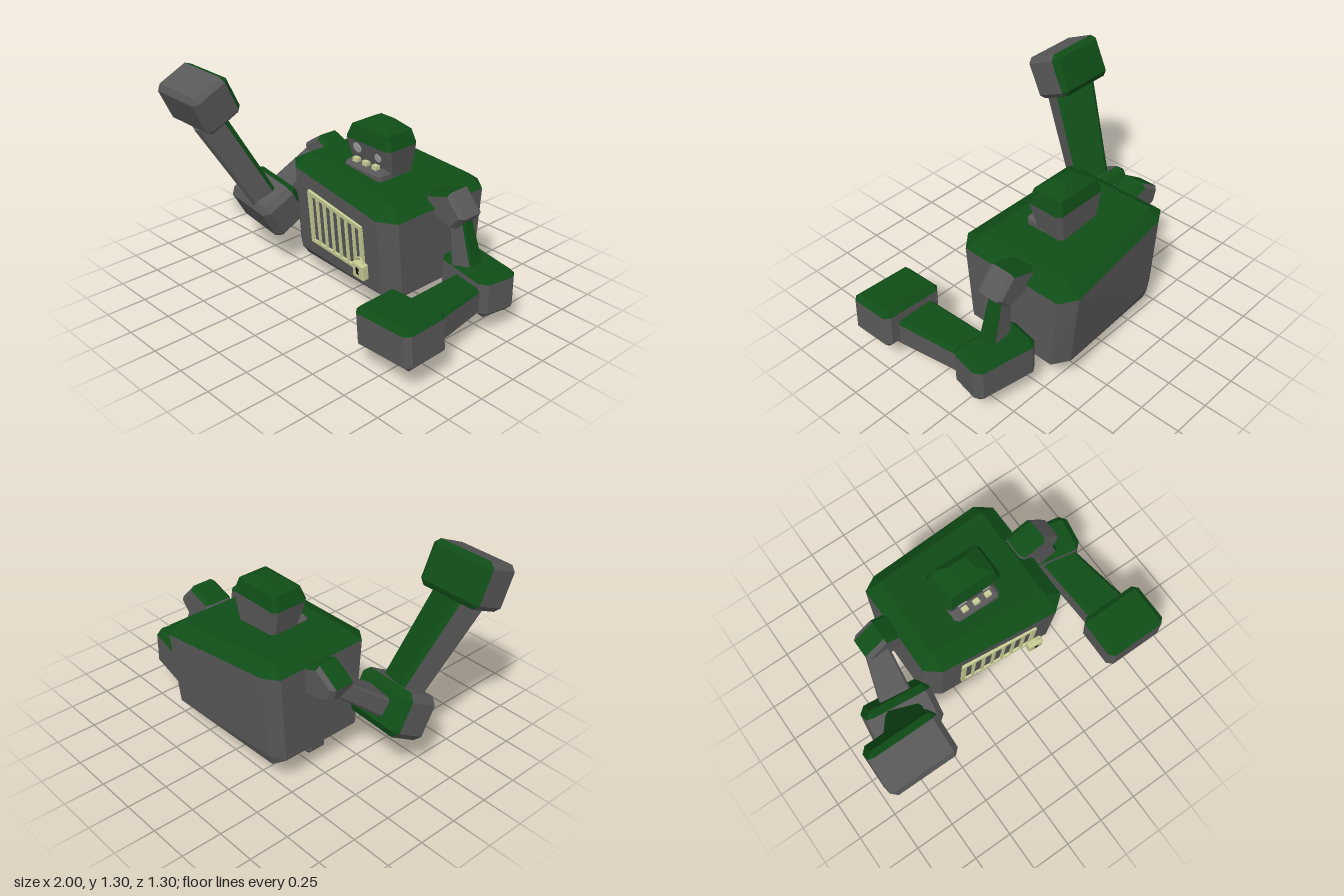
import * as THREE from 'three';
import { ConvexGeometry } from 'three/addons/geometries/ConvexGeometry.js';

const mat = (color) => new THREE.MeshStandardMaterial({ color, flatShading: true, side: THREE.DoubleSide });
const stone = mat(0x585858), moss = mat(0x0f4d17), brass = mat(0xc8cc94), pale = mat(0xa8a8a8), black = mat(0x0a0a0a);
const V = (x, y, z) => new THREE.Vector3(x, y, z);

function add(parent, name, geometry, material, x = 0, y = 0, z = 0) {
  const mesh = new THREE.Mesh(geometry, material);
  mesh.name = name;
  mesh.position.set(x, y, z);
  parent.add(mesh);
  return mesh;
}

// Splits a faceted solid into stone and moss: faces whose normal rises above the limit are mossy
function mossy(parent, name, geometry, limit = 0.4) {
  const g = geometry.index ? geometry.toNonIndexed() : geometry;
  const p = g.attributes.position, lists = [[], []], tri = new THREE.Triangle(), n = V(0, 0, 0);
  for (let i = 0; i < p.count; i += 3) {
    tri.setFromAttributeAndIndices(p, i, i + 1, i + 2);
    tri.getNormal(n);
    const list = lists[n.y > limit ? 1 : 0];
    for (const c of [tri.a, tri.b, tri.c]) list.push(c.x, c.y, c.z);
  }
  const part = new THREE.Group();
  part.name = name;
  lists.forEach((list, k) => {
    if (!list.length) return;
    const geo = new THREE.BufferGeometry();
    geo.setAttribute('position', new THREE.Float32BufferAttribute(list, 3));
    geo.computeVertexNormals();
    add(part, name + (k ? 'Moss' : 'Stone'), geo, k ? moss : stone);
  });
  parent.add(part);
  return part;
}

// Box with every edge cut off
function cutBox(w, h, d, b) {
  const pts = [];
  for (const x of [-w / 2, w / 2]) for (const y of [-h / 2, h / 2]) for (const z of [-d / 2, d / 2]) {
    const s = (v) => v - Math.sign(v) * b;
    pts.push(V(x, s(y), s(z)), V(s(x), y, s(z)), V(s(x), s(y), z));
  }
  return new ConvexGeometry(pts);
}

// Tapered limb from a to b; local z runs along it, sizes are [width, height]
function limb(parent, name, a, b, s0, s1, limit) {
  const len = a.distanceTo(b), pts = [];
  [[s0, 0], [s1, len]].forEach(([[w, h], z]) => {
    const c = Math.min(w, h) * 0.12;
    for (const i of [-1, 1]) for (const j of [-1, 1]) {
      pts.push(V(i * (w / 2 - c), j * h / 2, z), V(i * w / 2, j * (h / 2 - c), z));
    }
  });
  const part = mossy(parent, name, new ConvexGeometry(pts), limit);
  part.position.copy(a);
  part.lookAt(b);
}

function block(parent, name, size, bevel, pos, rot) {
  const part = mossy(parent, name, cutBox(...size, bevel));
  part.position.set(...pos);
  part.rotation.set(...rot);
}

// Shoulder slab: side outline pushed along z, with cut edges
function shoulder(parent, name, outline, z0, z1) {
  const mid = V(0, 0, 0), b = 0.025;
  outline.forEach(([x, y]) => mid.add(V(x, y, 0).divideScalar(outline.length)));
  const pts = [];
  for (const [x, y] of outline) {
    const inner = V(x, y, 0).lerp(mid, 0.18);
    pts.push(V(x, y, z0 + b), V(x, y, z1 - b), V(inner.x, inner.y, z0), V(inner.x, inner.y, z1));
  }
  mossy(parent, name, new ConvexGeometry(pts), 0.7);
}

function buildBody(root) {
  const ring = [[-0.45, -0.53], [-0.36, -0.585], [0.39, -0.645], [0.487, -0.575],
    [0.487, 0.11], [0.39, 0.19], [-0.36, 0.13], [-0.45, 0.06]];
  const pts = [];
  for (const [x, z] of ring) {
    pts.push(V(x, 0.705 - 0.083 * x, z), V(x, 0.19, -0.225 + (z + 0.225) * 0.88));
  }
  for (const [x, y, z0, z1] of [[-0.36, 0.8, -0.51, 0.02], [0.39, 0.735, -0.56, 0.07]]) {
    pts.push(V(x, y, z0), V(x, y, z1), V(x, 0.125, -0.52), V(x, 0.125, 0.04));
  }
  mossy(root, 'body', new ConvexGeometry(pts), 0.2);
  for (const x of [-0.237, 0.185]) add(root, 'foot', cutBox(0.19, 0.16, 0.145, 0.025), stone, x, 0.08, -0.152);
}

function buildHead(root) {
  const pts = [];
  // Each level: height, x range, z range, corner cut
  for (const [y, x0, x1, z0, z1, c] of [[0.74, -0.135, 0.165, -0.32, -0.135, 0.02],
    [0.935, -0.172, 0.202, -0.332, -0.085, 0.025], [1.015, -0.135, 0.168, -0.31, -0.11, 0.01],
    [1.065, -0.04, 0.072, -0.26, -0.18, 0]]) {
    for (const [x, sx] of [[x0, 1], [x1, -1]]) for (const [z, sz] of [[z0, 1], [z1, -1]]) {
      pts.push(V(x + sx * c, y, z), V(x, y, z + sz * c));
    }
  }
  mossy(root, 'head', new ConvexGeometry(pts), 0.1);
  add(root, 'jaw', cutBox(0.31, 0.085, 0.16, 0.022), stone, 0.015, 0.765, -0.13);
  for (const [x, y, r] of [[-0.067, 0.887, 0.033], [0.102, 0.872, 0.026]]) {
    const eye = add(root, 'eye', new THREE.CylinderGeometry(r, r, 0.01, 16), pale, x, y, -0.085 - (0.935 - y) * 0.256);
    eye.rotation.x = Math.PI / 2 + 0.25;
  }
  for (const x of [-0.06, 0.02, 0.1]) add(root, 'tooth', new THREE.BoxGeometry(0.038, 0.03, 0.03), brass, x, 0.817, -0.085);
}

// Barred window and padlock, laid on the slanted front wall
function buildGate(root) {
  const gate = new THREE.Group();
  gate.name = 'gate';
  gate.position.set(0.015, 0.45, 0.139);
  gate.rotation.set(0.09, -0.08, 0);
  root.add(gate);
  const top = (x) => 0.15 - 0.083 * x, low = -0.16;
  for (let i = 0; i < 8; i++) {
    const x = -0.238 + i * 0.068, edge = i === 0 || i === 7;
    const h = top(x) - low;
    add(gate, 'bar', new THREE.BoxGeometry(edge ? 0.026 : 0.018, h, edge ? 0.022 : 0.016), brass, x, low + h / 2, 0.004);
  }
  add(gate, 'sill', new THREE.BoxGeometry(0.5, 0.02, 0.022), brass, 0, low, 0.004);
  add(gate, 'lintel', new THREE.BoxGeometry(0.5, 0.024, 0.022), brass, 0, 0.15, 0.004).rotation.z = -0.083;

  const lock = new THREE.Group();
  lock.name = 'padlock';
  lock.position.set(0.25, -0.13, 0.035);
  gate.add(lock);
  add(lock, 'lockBody', cutBox(0.096, 0.1, 0.045, 0.006), brass);
  add(lock, 'shackle', new THREE.TorusGeometry(0.032, 0.005, 6, 12, Math.PI), brass, 0, 0.05, 0);
  add(lock, 'keyholeTop', new THREE.CircleGeometry(0.016, 12), black, 0, 0.012, 0.024);
  const slot = new THREE.Shape([[-0.006, 0.01], [-0.014, -0.02], [0.014, -0.02], [0.006, 0.01]].map(([x, y]) => new THREE.Vector2(x, y)));
  add(lock, 'keyholeSlot', new THREE.ShapeGeometry(slot), black, 0, 0, 0.024);
}

function buildArms(root) {
  // Left arm rests forward along the ground
  const left = new THREE.Group();
  left.name = 'leftArm';
  root.add(left);
  shoulder(left, 'leftShoulder', [[0.38, 0.65], [0.41, 0.735], [0.58, 0.79], [0.695, 0.665], [0.62, 0.58], [0.545, 0.6]], -0.35, -0.175);
  limb(left, 'leftUpperArm', V(0.595, 0.63, -0.27), V(0.665, 0.32, -0.275), [0.085, 0.1], [0.115, 0.16]);
  block(left, 'leftElbow', [0.41, 0.265, 0.25], 0.04, [0.703, 0.242, -0.32], [0, -0.18, 0]);
  limb(left, 'leftForearm', V(0.73, 0.22, -0.25), V(0.782, 0.222, 0.28), [0.21, 0.16], [0.265, 0.185], 0.4);
  block(left, 'leftFist', [0.41, 0.25, 0.3], 0.032, [0.79, 0.264, 0.387], [0.03, 0, 0.05]);

  // Right arm is raised
  const right = new THREE.Group();
  right.name = 'rightArm';
  root.add(right);
  shoulder(right, 'rightShoulder', [[-0.4, 0.62], [-0.43, 0.75], [-0.53, 0.79], [-0.665, 0.7], [-0.64, 0.62], [-0.55, 0.58], [-0.44, 0.57]], -0.355, -0.185);
  limb(right, 'rightUpperArm', V(-0.58, 0.65, -0.24), V(-0.64, 0.42, 0.06), [0.14, 0.1], [0.21, 0.12], 2);
  // Local top of the raised blocks faces back, so they are tipped past the vertical
  block(right, 'rightElbow', [0.42, 0.265, 0.27], 0.04, [-0.655, 0.4, 0.11], [-1.05, 0, -0.1]);
  limb(right, 'rightForearm', V(-0.65, 0.44, 0.15), V(-0.785, 1.03, 0.465), [0.21, 0.165], [0.265, 0.19], 0.4);
  block(right, 'rightFist', [0.41, 0.265, 0.27], 0.032, [-0.795, 1.14, 0.49], [-1.13, 0, 0]);
}

export function createModel() {
  const root = new THREE.Group();
  root.name = 'stoneGolem';
  buildBody(root);
  buildHead(root);
  buildGate(root);
  buildArms(root);
  return root;
}
